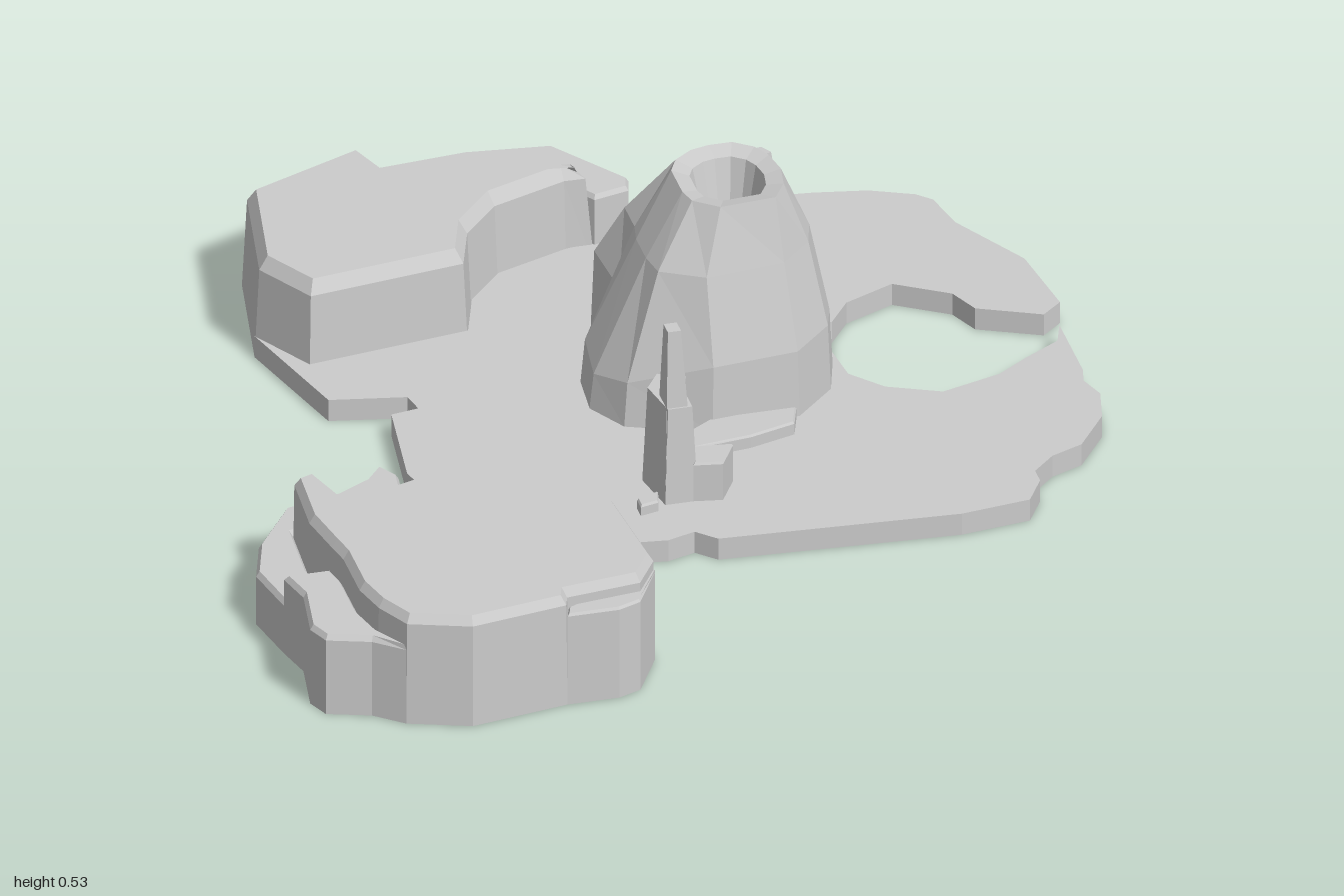
import * as THREE from 'three';

// Plans are [x, z] in hundredths, clockwise as seen from above; heights are in units.
const material = new THREE.MeshStandardMaterial({ color: 0xcccccc, flatShading: true, side: THREE.DoubleSide });
const at = (plan, y) => plan.map(([x, z], i) => new THREE.Vector3(x / 100, Array.isArray(y) ? y[i] : y, z / 100));

// Moves every edge of a plan inward by d
function inset(plan, d) {
  const n = plan.length;
  const normal = (a, b) => {
    const l = Math.hypot(b[0] - a[0], b[1] - a[1]);
    return [-(b[1] - a[1]) / l, (b[0] - a[0]) / l];
  };
  return plan.map((p, i) => {
    const u = normal(plan[(i + n - 1) % n], p);
    const v = normal(p, plan[(i + 1) % n]);
    const k = d / Math.max(0.5, 1 + u[0] * v[0] + u[1] * v[1]);
    return [p[0] + (u[0] + v[0]) * k, p[1] + (u[1] + v[1]) * k];
  });
}

// Open-bottomed shell: walls through the rings, closed by a cap on the last one
function shell(name, rings, holes = []) {
  const pos = [];
  const tri = (a, b, c) => [a, b, c].forEach((p) => pos.push(p.x, p.y, p.z));
  for (let r = 0; r < rings.length - 1; r++) {
    const lo = rings[r], hi = rings[r + 1];
    lo.forEach((a, i) => {
      const j = (i + 1) % lo.length;
      tri(a, hi[i], hi[j]);
      tri(a, hi[j], lo[j]);
    });
  }
  const top = rings[rings.length - 1];
  const flat = (ring) => ring.map((p) => new THREE.Vector2(p.x, p.z));
  const all = [top, ...holes].flat();
  for (const [i, j, k] of THREE.ShapeUtils.triangulateShape(flat(top), holes.map(flat))) {
    const [a, b, c] = [all[i], all[j], all[k]];
    const up = (b.z - a.z) * (c.x - a.x) - (b.x - a.x) * (c.z - a.z) > 0;
    if (up) tri(a, b, c); else tri(a, c, b);
  }
  const geo = new THREE.BufferGeometry();
  geo.setAttribute('position', new THREE.Float32BufferAttribute(pos, 3));
  geo.computeVertexNormals();
  const mesh = new THREE.Mesh(geo, material);
  mesh.name = name;
  return mesh;
}

// Rock tier with a bevelled upper edge
const tier = (name, plan, y0, y1, lean, bevel) => shell(name, [
  at(plan, y0), at(inset(plan, lean), y1 - bevel), at(inset(plan, lean + bevel * 60), y1),
]);

export function createModel() {
  const model = new THREE.Group();
  model.name = 'rockyIsland';
  const SLAB = 0.05;

  // Central cone: matching plans from foot to rim
  const coneFoot = [[13, -43], [24, -40], [32, -44], [43, -37], [39, -24], [44, -16], [41, -6],
    [32, 3], [13, 5], [-4, -2], [-9, -11], [-8, -22], [0, -24], [-2, -37]];
  const coneWaist = [[13, -37], [23, -35], [30, -37], [37, -32], [37, -24], [39, -16], [37, -9],
    [30, -2], [13, 0], [4, -5], [3, -11], [3, -19], [4, -24], [4, -32]];
  const coneRim = [[17, -28], [21, -29], [26, -29], [30, -26], [32, -22], [33, -16], [32, -10],
    [29, -5], [17, -4], [12, -8], [11, -12], [11, -16], [11, -21], [13, -25]];
  const shoulder = [0.27, 0.3, 0.27, 0.27, 0.2, 0.18, 0.2, 0.2, 0.2, 0.15, 0.13, 0.15, 0.25, 0.27];
  const shrink = (plan, s) => plan.map(([x, z]) => [22 + (x - 22) * s, -16.5 + (z + 16.5) * s]);
  model.add(shell('cone', [
    at(coneFoot, SLAB), at(shrink(coneFoot, 0.97), shoulder), at(coneWaist, 0.39),
    at(coneRim, 0.53), at(shrink(coneRim, 0.68), 0.52), at(shrink(coneRim, 0.5), 0.42),
  ]));

  // Ground slab with a bay on the left, open under the rocks
  const frontFoot = [[-6, 20], [-2, 14], [5, 17], [3, 25], [3, 31], [-4, 31]];
  const backFoot = [[30, -65], [41, -69], [45, -68], [52, -61], [47, -54], [33, -54], [30, -61]];
  const ground = [[20, -89], [28, -86], [33, -87], [40, -86], [58, -84], [69, -82], [78, -78], [81, -75],
    [83, -65], [93, -47], [95.5, -28], [91, -24], [78, -30], [75, -37], [64, -44], [53, -39], [48, -32],
    [45, -21], [46, -11], [52, -4], [63, 1], [76, -3], [83, -8], [91, -13], [93, -19], [93, 0], [92, 4],
    [94, 10], [92, 19], [85, 29], [78, 32], [73, 37], [73, 41], [69, 48], [54, 50], [3, 47], [-1, 43],
    [-7, 45], [-24, 43], [-33, 36], [-43, 31], [-49, 17], [-52, 5], [-49, -19], [-43, -20], [-44, -25],
    [-60, -28], [-68, -57], [-60, -43], [-25, -48], [-21, -60], [-13, -69], [3, -75], [17, -77],
    [18, -81], [6, -98]];
  model.add(shell('groundSlab', [at(ground, 0), at(ground, SLAB)],
    [coneFoot, frontFoot, backFoot].map((p) => at(p, SLAB))));

  // Back plateau and its lower ledge
  model.add(tier('plateau', [[-63, -86], [-35, -98], [-30, -84], [-8, -88], [7, -78], [9, -75], [3, -75],
    [-13, -69], [-21, -60], [-25, -48], [-60, -43], [-68, -57]], 0, 0.235, 1, 0.03));
  model.add(tier('plateauLedge', [[-35, -98], [-12, -100], [6, -98], [18, -81], [17, -77], [9, -75],
    [7, -78], [-8, -88], [-30, -84]], 0, 0.165, 0.2, 0.01));

  // Separate stepped rock at the front right
  const outcrop = new THREE.Group();
  outcrop.name = 'outcrop';
  outcrop.add(
    tier('outcropTop', [[-84, 34], [-79, 32], [-75, 45], [-60, 40], [-52, 47], [-47, 51], [-35, 55],
      [-22, 58], [-20, 83], [-25, 91], [-41, 93], [-42, 96], [-63, 99.5], [-76, 95], [-80, 87], [-82, 79],
      [-82, 66], [-83, 61], [-85, 50]], 0, 0.255, 0.3, 0.02),
    tier('outcropSideLedge', [[-82, 90], [-91, 87], [-93, 82], [-91, 69], [-93, 61], [-83, 61], [-82, 66],
      [-82, 79], [-80, 87], [-76, 95]], 0, 0.187, 0, 0.012),
    tier('outcropLowLedge', [[-93, 61], [-95.5, 48], [-92, 37], [-83, 24], [-71, 21], [-64, 17], [-60, 12],
      [-57, 17], [-60, 40], [-75, 45], [-79, 32], [-84, 34], [-85, 50], [-83, 61]], 0, 0.125, 0, 0.012),
    tier('outcropFrontStep', [[-20, 83], [-26, 94], [-31, 96], [-42, 96], [-41, 93], [-25, 91]], 0, 0.215, 0, 0.006),
    tier('outcropBackStep', [[-47, 51], [-31, 52], [-22, 58], [-35, 55]], 0, 0.215, 0, 0.006),
  );
  model.add(outcrop);

  // Front spire with its stepped blocks
  model.add(
    shell('frontSpireBase', [at(frontFoot, SLAB), at(inset(frontFoot, 1), 0.27)]),
    shell('frontSpire', [
      at([[-4, 22], [2, 22], [2.5, 31], [-4, 31]], SLAB),
      at([[-2.8, 25], [0, 25], [0, 28.5], [-2.8, 28.5]], 0.445),
    ]),
    tier('frontBlock', [[3, 24], [12, 25], [8, 32], [2, 31]], SLAB, 0.14, 0, 0.005),
    tier('pebble', [[-10, 31], [-5, 29], [-6, 33], [-10, 34]], SLAB, 0.075, 0, 0.005),
    tier('coneStep', [[7, 8], [13, 4], [31, 4], [29, 10], [19, 13], [3, 15]], SLAB, 0.08, 0, 0.005),
  );

  // Back spire
  model.add(
    shell('backSpireBase', [at(backFoot, SLAB), at(inset(backFoot, 2.5), 0.15)]),
    shell('backSpire', [
      at([[35, -67], [43, -68], [47, -62], [37, -59]], SLAB),
      at([[40, -65.5], [42, -66], [43.5, -63.5], [40.5, -62]], 0.285),
    ]),
  );
  return model;
}
